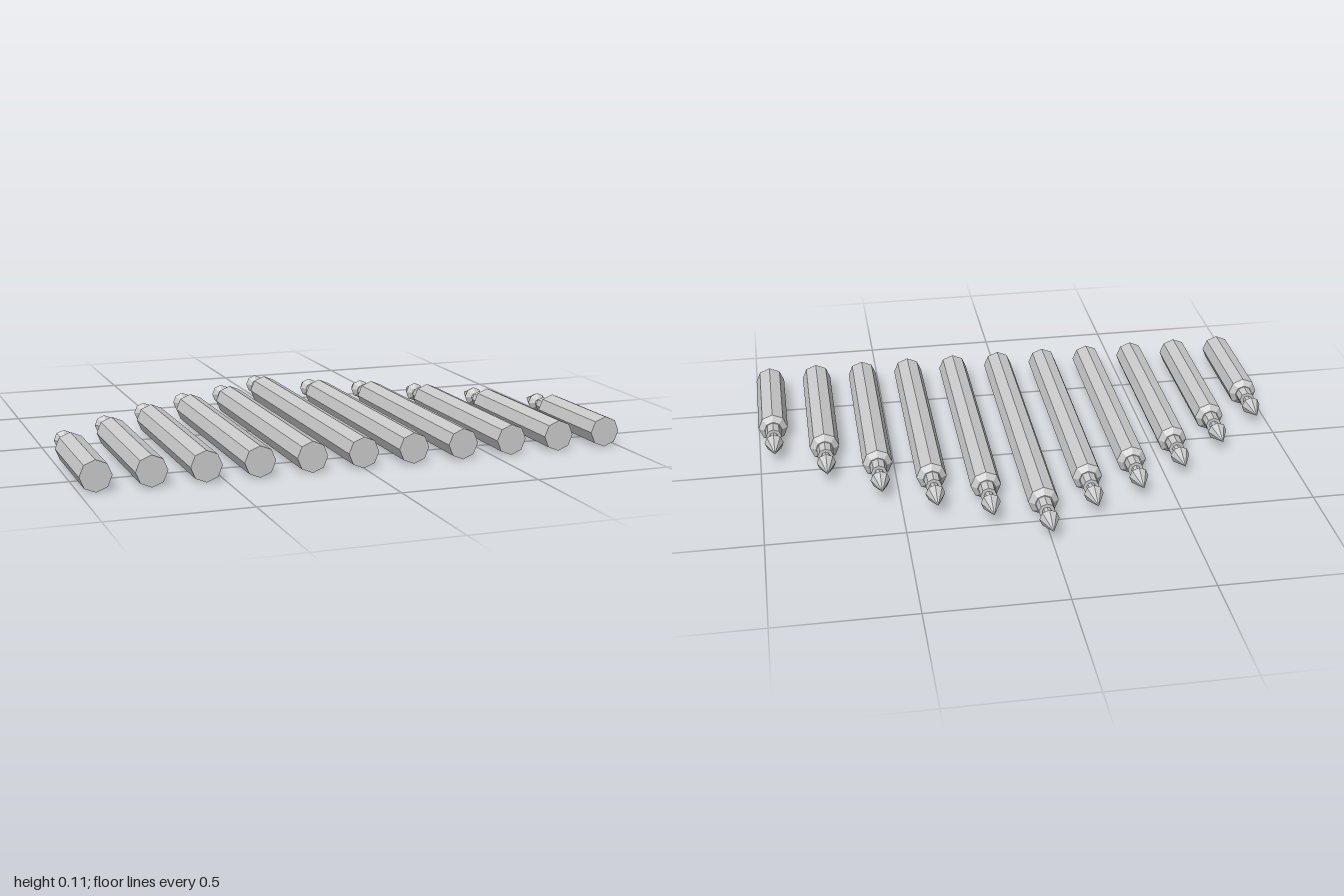
import * as THREE from 'three';

const RADIUS = 0.056;
const SPACING = 0.1888;
const BASE_Z = 0.665;
// tip z position, from the centre picket outwards
const TIPS = [-0.665, -0.523, -0.427, -0.298, -0.139, 0.045];

const material = new THREE.MeshStandardMaterial({ color: 0xcccccc, flatShading: true });

// octagonal solid turned around the z axis, from [radius, z] pairs running towards -z
function turned(name, profile) {
  const points = profile.map(([r, z]) => new THREE.Vector2(r, -z));
  const geometry = new THREE.LatheGeometry(points, 8).rotateX(-Math.PI / 2);
  const mesh = new THREE.Mesh(geometry, material);
  mesh.name = name;
  return mesh;
}

function createPicket(tip) {
  const picket = new THREE.Group();
  picket.name = 'picket';
  // long shaft with a bevelled shoulder
  picket.add(turned('shaft', [
    [0, BASE_Z], [RADIUS, BASE_Z], [RADIUS, tip + 0.211], [0.034, tip + 0.192], [0, tip + 0.192],
  ]));
  // collar, thin neck and pointed head
  picket.add(turned('collar', [
    [0.031, tip + 0.194], [0.03, tip + 0.138], [0, tip + 0.138],
  ]));
  picket.add(turned('spearHead', [
    [0.017, tip + 0.14], [0.017, tip + 0.107], [0.036, tip + 0.088], [0, tip],
  ]));
  return picket;
}

export function createModel() {
  const model = new THREE.Group();
  model.name = 'picketRow';
  for (let i = -5; i <= 5; i++) {
    const picket = createPicket(TIPS[Math.abs(i)]);
    picket.position.set(i * SPACING, RADIUS, 0);
    model.add(picket);
  }
  return model;
}
